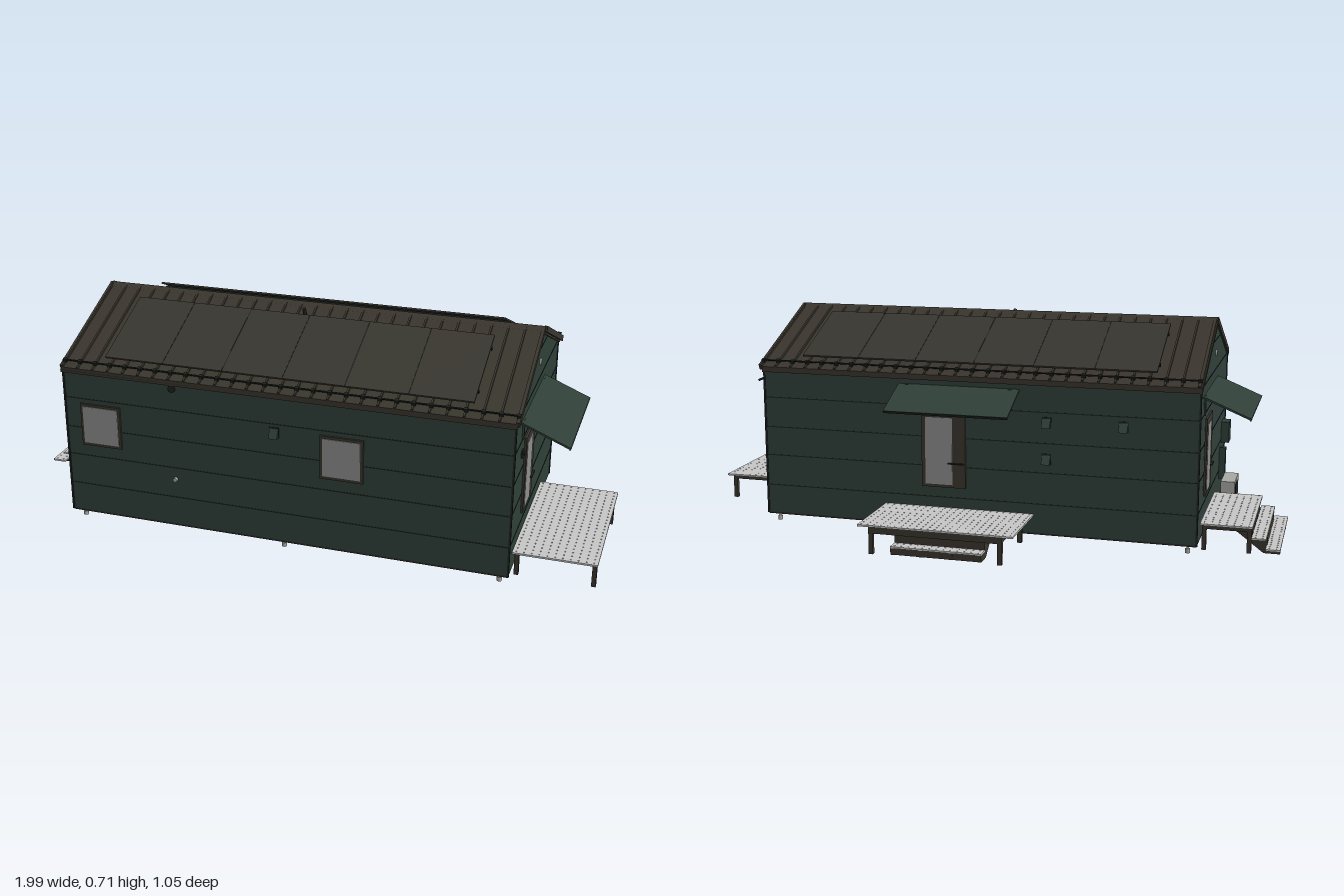
import * as THREE from 'three';

const mat = (name, color, double) => {
  const m = new THREE.MeshStandardMaterial({ color });
  m.name = name;
  if (double) m.side = THREE.DoubleSide;
  return m;
};

export function createModel() {
  const green = mat('wall green', 0x2f3f38);
  const seamDark = mat('seam dark', 0x1b221e);
  const brown = mat('roof brown', 0x3a362e);
  const floorDark = mat('floor dark', 0x2a2822);
  const panelBrown = mat('solar panel', 0x38362f);
  const glass = mat('glass grey', 0x8e8e8e);
  const grate = mat('grating grey', 0xc6c6c6);
  const metal = mat('metal grey', 0xa8a8a4);

  const house = new THREE.Group();
  house.name = 'tinyHouse';

  const add = (parent, name, geo, m) => {
    const mesh = new THREE.Mesh(geo, m);
    mesh.name = name;
    parent.add(mesh);
    return mesh;
  };
  // Box given by its extents
  const box = (parent, name, m, x0, x1, y0, y1, z0, z1) => {
    const mesh = add(parent, name, new THREE.BoxGeometry(x1 - x0, y1 - y0, z1 - z0), m);
    mesh.position.set((x0 + x1) / 2, (y0 + y1) / 2, (z0 + z1) / 2);
    return mesh;
  };
  // Profile of [z, y] points extruded along x
  const profileX = (parent, name, m, pts, x0, x1) => {
    const shape = new THREE.Shape(pts.map(([z, y]) => new THREE.Vector2(-z, y)));
    const geo = new THREE.ExtrudeGeometry(shape, { depth: x1 - x0, bevelEnabled: false });
    geo.rotateY(Math.PI / 2).translate(x0, 0, 0);
    return add(parent, name, geo, m);
  };

  const X0 = -0.74, X1 = 0.73, Z0 = -0.255, Z1 = 0.505, ZC = 0.125;

  // Walls with gables, floor and seams
  profileX(house, 'walls', green, [[Z0, 0.033], [Z1, 0.033], [Z1, 0.53], [ZC, 0.692], [Z0, 0.53]], X0, X1);
  box(house, 'floor', floorDark, X0, X1, 0.027, 0.033, Z0, Z1);
  for (const y of [0.13, 0.235, 0.333, 0.435, 0.534])
    box(house, 'wallSeam', seamDark, X0 - 0.001, X1 + 0.001, y - 0.0015, y + 0.0015, Z0 - 0.001, Z1 + 0.001);
  box(house, 'gableSeam', seamDark, X0 - 0.001, X1 + 0.001, 0.6345, 0.6375, ZC - 0.13, ZC + 0.13);
  for (const x of [X0, X1]) for (const z of [Z0, Z1])
    box(house, 'cornerTrim', seamDark, x - 0.003, x + 0.003, 0.03, 0.53, z - 0.003, z + 0.003);

  // Roof shell, rake boards and ridge cap
  const roofBand = (o, t) => [[ZC - 0.387, 0.54 + o], [ZC - 0.387, 0.54 + o - t], [ZC, 0.705 + o - t],
    [ZC + 0.387, 0.54 + o - t], [ZC + 0.387, 0.54 + o], [ZC, 0.705 + o]];
  profileX(house, 'roofShell', brown, roofBand(0, 0.018), X0 - 0.005, X1 + 0.005);
  profileX(house, 'roofLining', seamDark, roofBand(-0.008, 0.003), X0 - 0.006, X1 + 0.006);
  profileX(house, 'ridgeCap', brown, [[ZC - 0.02, 0.7], [ZC + 0.02, 0.7], [ZC, 0.711]], X0 - 0.005, X1 + 0.005);

  // Each slope: local z runs down the roof from the ridge
  for (const turn of [0, Math.PI]) {
    const slope = new THREE.Group();
    slope.name = 'roofSlope';
    slope.position.set(0, 0.705, ZC);
    slope.rotation.set(Math.atan2(0.165, 0.387), turn, 0, 'YXZ');
    house.add(slope);
    for (let i = 0; i <= 28; i++) {
      const x = -0.737 + i * 0.0525;
      box(slope, 'standingSeam', brown, x - 0.003, x + 0.003, 0, 0.006, 0.01, 0.42);
    }
    for (const x of [-0.742, 0.737])
      box(slope, 'rakeTrim', brown, x - 0.004, x + 0.004, -0.012, 0.007, 0, 0.42);
    for (const d of [0.13, 0.32]) box(slope, 'panelRail', seamDark, -0.6, 0.6, 0.008, 0.018, d - 0.004, d + 0.004);
    for (let i = 0; i < 6; i++) {
      const x = -0.6 + i * 0.2;
      box(slope, 'solarPanel', panelBrown, x + 0.0015, x + 0.1985, 0.019, 0.025, 0.082, 0.376);
      if (i) box(slope, 'panelGap', seamDark, x - 0.0015, x + 0.0015, 0.02, 0.024, 0.082, 0.376);
    }
    for (let i = 0; i < 29; i++) {
      const x = -0.735 + i * 0.0525;
      box(slope, 'snowGuard', seamDark, x - 0.006, x + 0.006, 0.004, 0.016, 0.392, 0.402);
    }
    box(slope, 'snowBar', seamDark, -0.735, 0.73, 0.01, 0.014, 0.395, 0.399);
  }
  const stack = add(house, 'roofVent', new THREE.CylinderGeometry(0.006, 0.006, 0.035, 12), seamDark);
  stack.position.set(-0.03, 0.69, 0.178);
  stack.rotation.x = 0.4;

  // Front windows
  for (const x of [-0.615, 0.2]) {
    box(house, 'windowFrame', brown, x - 0.07, x + 0.07, 0.275, 0.42, Z1, Z1 + 0.006);
    box(house, 'windowGlass', glass, x - 0.061, x + 0.061, 0.285, 0.411, Z1 + 0.004, Z1 + 0.008);
  }

  // Perforated grating lying flat: x from x0 to x1, full width w, underside at y
  const grating = (parent, name, x0, x1, w, y) => {
    const shape = new THREE.Shape([[x0, -w / 2], [x1, -w / 2], [x1, w / 2], [x0, w / 2]].map(p => new THREE.Vector2(...p)));
    const h = 0.003, step = 0.022;
    const nx = Math.floor((x1 - x0) / step), nw = Math.floor(w / step);
    for (let i = 0; i < nx; i++) for (let j = 0; j < nw; j++) {
      const cx = x0 + (i + 0.5) * (x1 - x0) / nx, cy = -w / 2 + (j + 0.5) * w / nw;
      shape.holes.push(new THREE.Path([[cx - h, cy], [cx, cy + h], [cx + h, cy], [cx, cy - h]].map(p => new THREE.Vector2(...p))));
    }
    const geo = new THREE.ExtrudeGeometry(shape, { depth: 0.006, bevelEnabled: false });
    geo.rotateX(-Math.PI / 2).translate(0, y, 0);
    add(parent, name, geo, grate);
  };

  // Entrance: door, awning and porch, built facing local +x
  const entrance = (name, x, z, turn, { deckW, deckD, awnW, stairs, treadW }) => {
    const g = new THREE.Group();
    g.name = name;
    g.position.set(x, 0, z);
    g.rotation.y = turn;
    house.add(g);

    // Door
    box(g, 'doorFrame', brown, 0, 0.007, 0.165, 0.42, -0.025, 0.125);
    box(g, 'doorGlass', glass, 0.005, 0.009, 0.175, 0.4, 0.019, 0.112);
    box(g, 'doorHandle', seamDark, 0.008, 0.016, 0.246, 0.25, -0.02, 0.033);

    // Sloped awning with side brackets
    const awning = new THREE.Group();
    awning.name = 'awning';
    awning.position.set(0, 0.505, 0);
    awning.rotation.z = -0.395;
    g.add(awning);
    box(awning, 'awningTop', green, 0, 0.162, -0.005, 0.001, -awnW / 2, awnW / 2);
    box(awning, 'awningEdge', seamDark, 0.16, 0.164, -0.007, 0.001, -awnW / 2, awnW / 2);
    for (const s of [-1, 1]) {
      const zz = s * (awnW / 2 - 0.03);
      box(g, 'awningBracket', green, 0, 0.006, 0.44, 0.505, zz - 0.006, zz + 0.006);
      box(awning, 'awningArm', seamDark, 0, 0.15, -0.01, -0.005, zz - 0.003, zz + 0.003);
    }

    // Porch deck, frame and legs
    const hw = Math.min(deckW / 2 - 0.04, 0.212);
    grating(g, 'deckGrating', 0.002, deckD, deckW, 0.09);
    for (const xx of [0.012, deckD - 0.012]) {
      box(g, 'deckBeam', brown, xx - 0.006, xx + 0.006, 0.068, 0.09, -hw, hw);
      for (const s of [-1, 1])
        box(g, 'deckLeg', brown, xx - 0.007, xx + 0.007, 0, 0.09, s * hw - 0.007, s * hw + 0.007);
    }
    for (let i = 0; i <= 4; i++) {
      const zz = -hw + i * hw / 2;
      box(g, 'deckJoist', brown, 0.012, deckD - 0.012, 0.07, 0.09, zz - 0.006, zz + 0.006);
    }
    if (!stairs) return;

    // Stairs on stringers
    const side = new THREE.Shape([[0.11, 0.068], [0.2, 0], [0.252, 0], [0.252, 0.022], [0.208, 0.022],
      [0.208, 0.055], [0.165, 0.055], [0.165, 0.068]].map(p => new THREE.Vector2(...p)));
    for (const zz of [-0.144, -0.05, 0.05, 0.144]) {
      const geo = new THREE.ExtrudeGeometry(side, { depth: 0.012, bevelEnabled: false });
      geo.translate(0, 0, zz - 0.006);
      add(g, 'stairStringer', geo, brown);
    }
    box(g, 'stairRiser', brown, 0.205, 0.211, 0.002, 0.055, -0.15, 0.15);
    box(g, 'stairRiser', brown, 0.246, 0.25, 0, 0.022, -0.15, 0.15);
    grating(g, 'stairTread', 0.164, 0.21, treadW, 0.055);
    grating(g, 'stairTread', 0.209, 0.255, treadW, 0.022);
  };
  entrance('leftEntrance', X1, 0.2125, 0, { deckW: 0.51, deckD: 0.262, awnW: 0.41 });
  entrance('rightEntrance', X0 - 0.003, -0.02, Math.PI, { deckW: 0.4, deckD: 0.167, awnW: 0.4, stairs: true, treadW: 0.4 });
  entrance('backEntrance', 0.045, Z0, Math.PI / 2, { deckW: 0.51, deckD: 0.268, awnW: 0.41, stairs: true, treadW: 0.3 });

  // Wedge vent hoods on front and back walls
  const hood = (x, y, z, s) => {
    const pts = [[z, y - 0.014], [z + s * 0.018, y - 0.014], [z, y + 0.018]];
    profileX(house, 'ventHood', green, s > 0 ? pts : pts.reverse(), x - 0.014, x + 0.014);
    box(house, 'ventOutline', seamDark, x - 0.016, x + 0.016, y - 0.016, y + 0.02, z - 0.002, z + 0.002);
  };
  hood(-0.02, 0.405, Z1, 1);
  hood(-0.25, 0.4, Z0, -1);
  hood(-0.25, 0.28, Z0, -1);
  hood(-0.5, 0.4, Z0, -1);

  // Small wall fittings
  const disc = (name, m, r, x, y, z, alongX) => {
    const d = add(house, name, new THREE.CylinderGeometry(r, r, 0.012, 20), m);
    d.position.set(x, y, z);
    if (alongX) d.rotation.z = Math.PI / 2; else d.rotation.x = Math.PI / 2;
  };
  disc('gableVent', metal, 0.011, X1, 0.592, ZC, true);
  disc('gableVent', metal, 0.011, X0, 0.592, ZC, true);
  disc('wallLamp', seamDark, 0.012, -0.36, 0.51, Z1, false);
  disc('waterInlet', metal, 0.007, -0.36, 0.195, Z1 + 0.004, false);
  box(house, 'socketBox', seamDark, X1, X1 + 0.006, 0.377, 0.4, 0.367, 0.39);
  box(house, 'socketLid', green, X1 + 0.004, X1 + 0.009, 0.38, 0.397, 0.37, 0.387);

  // Heat pump, service boxes and hose at the right end
  box(house, 'heatPump', metal, -0.812, -0.764, 0.037, 0.13, 0.2, 0.335);
  box(house, 'heatPumpGrille', seamDark, -0.814, -0.811, 0.05, 0.117, 0.215, 0.29);
  for (const z of [0.225, 0.31]) box(house, 'heatPumpBracket', seamDark, -0.81, X0, 0.03, 0.037, z - 0.005, z + 0.005);
  box(house, 'meterBox', green, -0.768, X0, 0.225, 0.3, 0.39, 0.45);
  box(house, 'pipeCover', green, -0.762, X0, 0.1, 0.215, 0.35, 0.375);
  const hose = new THREE.CatmullRomCurve3([[-0.785, 0.06, 0.335], [-0.785, 0.05, 0.36], [-0.765, 0.012, 0.365],
    [-0.745, 0.01, 0.345], [-0.735, 0.035, 0.34]].map(p => new THREE.Vector3(...p)));
  add(house, 'hose', new THREE.TubeGeometry(hose, 24, 0.005, 8), metal);

  // Levelling feet
  for (const x of [-0.71, 0, 0.7]) for (const z of [-0.23, 0.48]) {
    add(house, 'footPad', new THREE.CylinderGeometry(0.008, 0.008, 0.014, 12), metal).position.set(x, 0.007, z);
    add(house, 'footStem', new THREE.CylinderGeometry(0.004, 0.004, 0.02, 10), metal).position.set(x, 0.02, z);
  }
  return house;
}
